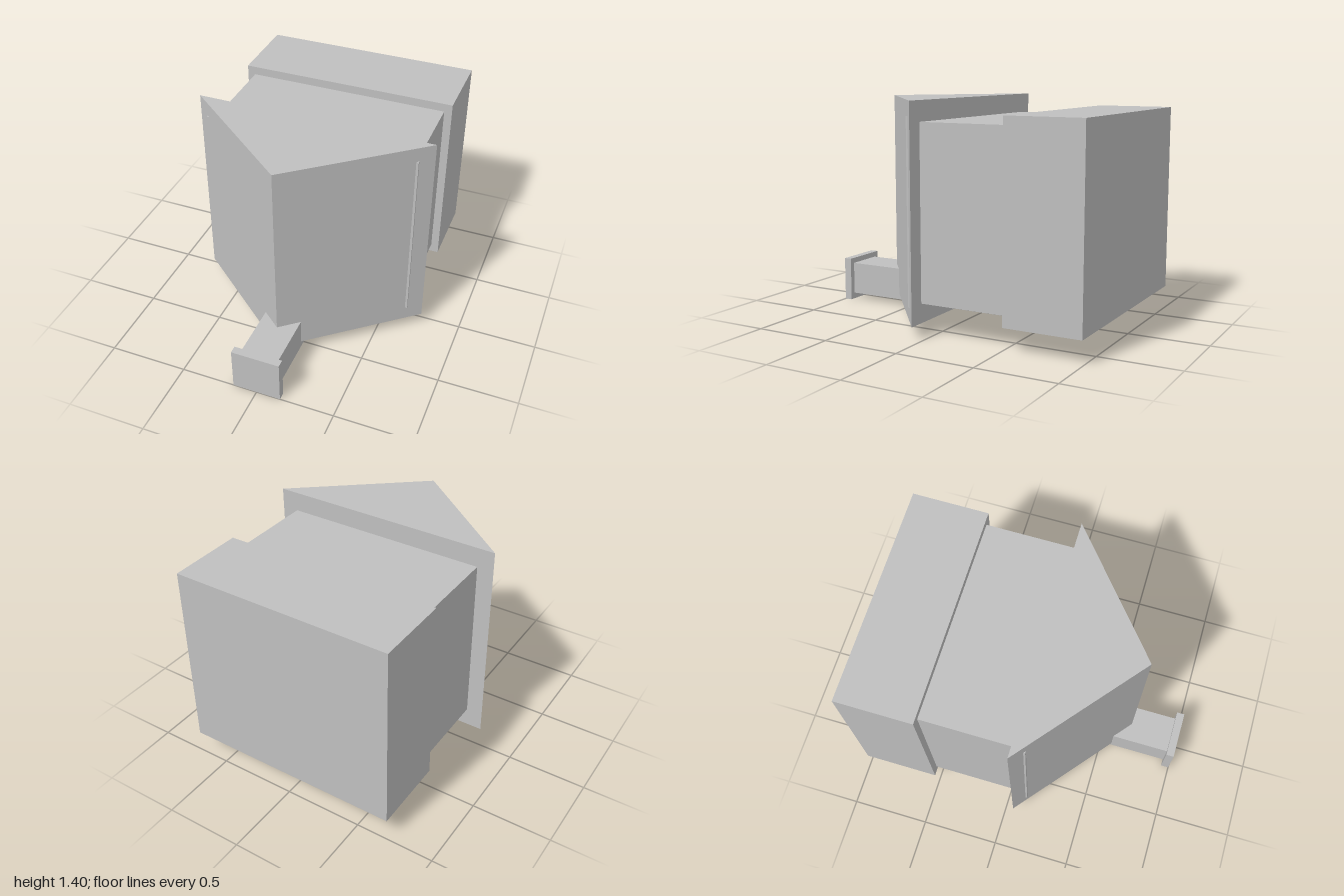
import * as THREE from 'three';

export function createModel() {
  const model = new THREE.Group();
  const grey = new THREE.MeshStandardMaterial({ color: 0xbfbfbf, flatShading: true });
  grey.name = 'light grey';

  const add = (name, geometry) => {
    const mesh = new THREE.Mesh(geometry, grey);
    mesh.name = name;
    model.add(mesh);
    return mesh;
  };

  // Box given by its minimum and maximum on each axis
  const box = (name, [x0, x1], [y0, y1], [z0, z1]) =>
    add(name, new THREE.BoxGeometry(x1 - x0, y1 - y0, z1 - z0))
      .position.set((x0 + x1) / 2, (y0 + y1) / 2, (z0 + z1) / 2);

  // Main body blocks
  box('rearBlock', [-0.7, 0.7], [0.145, 1.33], [-1, -0.515]);
  box('middleBlock', [-0.65, 0.65], [0.2, 1.275], [-0.515, 0.055]);

  // Pointed front: triangular plan, extruded upward
  const plan = new THREE.Shape([
    new THREE.Vector2(-0.755, -0.055),
    new THREE.Vector2(0, -0.675),
    new THREE.Vector2(0.755, -0.055),
  ]);
  const wedge = new THREE.ExtrudeGeometry(plan, { depth: 1.32, bevelEnabled: false });
  wedge.rotateX(-Math.PI / 2);
  add('frontWedge', wedge).position.y = 0.08;

  // Projecting arm with its end plate
  box('frontArm', [-0.12, 0.12], [0.04, 0.25], [0.35, 0.95]);
  box('endPlate', [-0.155, 0.155], [0, 0.285], [0.95, 1]);

  // Mirrored strips on the wedge and pads underneath
  for (const [side, s] of [['left', 1], ['right', -1]]) {
    const span = (a, b) => [Math.min(s * a, s * b), Math.max(s * a, s * b)];
    box(side + 'WedgeStrip', span(0.661, 0.676), [0.172, 1.308], [0.06, 0.132]);
    box(side + 'BottomPad', span(0.27, 0.54), [0.17, 0.2], [-0.42, -0.09]);
  }

  // Small ledge under the rear block's front edge
  box('centreLedge', [-0.16, 0.16], [0.153, 0.192], [-0.6, -0.38]);

  return model;
}
